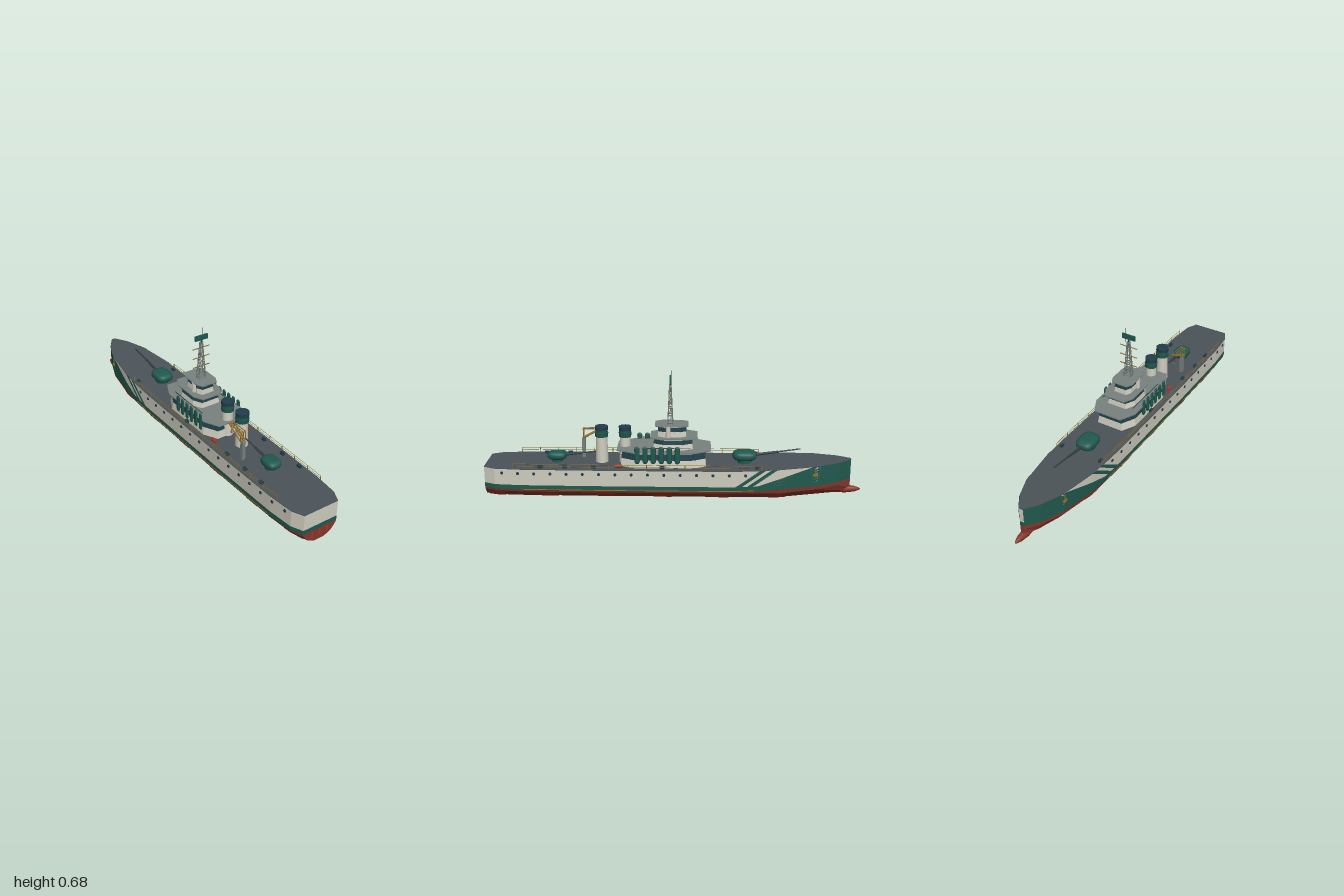
import * as THREE from 'three';

const mat = (name, color, side = THREE.FrontSide) => {
  const m = new THREE.MeshStandardMaterial({ color, side });
  m.name = name;
  return m;
};
const V = (x, y, z) => new THREE.Vector3(x, y, z);

// Hull stations from stern to bow: z, half width
const STATIONS = [[1, 0.1], [0.94, 0.128], [0.8, 0.14], [0.4, 0.145], [-0.3, 0.145], [-0.42, 0.142],
  [-0.55, 0.136], [-0.75, 0.105], [-0.87, 0.058], [-0.94, 0.01]];
const halfAt = (z) => {
  for (let i = 1; i < STATIONS.length; i++) {
    const [z0, w0] = STATIONS[i - 1], [z1, w1] = STATIONS[i];
    if (z >= z1) return w0 + (w1 - w0) * (z - z0) / (z1 - z0);
  }
  return 0.01;
};
const rise = (z) => Math.max(0, (-z - 0.35) / 0.59);
const deckY = (z) => 0.18 + 0.025 * rise(z);
const waterY = (z) => 0.066 + 0.032 * rise(z);
const bandY = (z) => waterY(z) + 0.025;

// Flat-faced solid through closed rings of equal length, faced outwards
function loft(rings) {
  const tris = [], n = rings[0].length;
  for (let i = 0; i + 1 < rings.length; i++) for (let j = 0; j < n; j++) {
    const k = (j + 1) % n, [a, b, c, d] = [rings[i][j], rings[i][k], rings[i + 1][k], rings[i + 1][j]];
    tris.push([a, b, c], [a, c, d]);
  }
  const last = rings[rings.length - 1];
  for (let j = 1; j + 1 < n; j++) {
    tris.push([rings[0][0], rings[0][j + 1], rings[0][j]], [last[0], last[j], last[j + 1]]);
  }
  const volume = tris.reduce((s, [a, b, c]) => s + a.dot(b.clone().cross(c)), 0);
  if (volume < 0) tris.forEach((t) => t.reverse());
  const g = new THREE.BufferGeometry().setFromPoints(tris.flat());
  g.computeVertexNormals();
  return g;
}

// Open painted sheet from a function of u and v
function sheet(fn, nu, nv, flip) {
  const pts = [];
  for (let i = 0; i < nu; i++) for (let j = 0; j < nv; j++) {
    const p = (a, b) => fn(a / nu, b / nv);
    const q = [p(i, j), p(i + 1, j), p(i + 1, j + 1), p(i, j), p(i + 1, j + 1), p(i, j + 1)];
    pts.push(...(flip ? q.reverse() : q));
  }
  const g = new THREE.BufferGeometry().setFromPoints(pts);
  g.computeVertexNormals();
  return g;
}

// Eight-sided plan ring with cut corners
const ring = (y, hw, zf, zb, c) => [[hw - c, zf], [hw, zf + 2 * c], [hw, zb - 2 * c], [hw - c, zb],
  [c - hw, zb], [-hw, zb - 2 * c], [-hw, zf + 2 * c], [c - hw, zf]].map(([x, z]) => V(x, y, z));

export function createModel() {
  const ship = new THREE.Group();
  ship.name = 'warship';
  const white = mat('hullWhite', 0xcfcdbf), green = mat('darkGreen', 0x20594e, THREE.DoubleSide);
  const red = mat('bottomRed', 0x86382e), bright = mat('brightRed', 0xa8382a, THREE.DoubleSide);
  const deckGrey = mat('deckGrey', 0x4b5459), roofGrey = mat('roofGrey', 0x78827f);
  const gold = mat('brassGold', 0x94702c), navy = mat('windowNavy', 0x213d4b);
  const steel = mat('darkSteel', 0x343d42);

  const add = (name, geo, m, x = 0, y = 0, z = 0) => {
    const mesh = new THREE.Mesh(geo, m);
    mesh.name = name;
    mesh.position.set(x, y, z);
    ship.add(mesh);
    return mesh;
  };
  const box = (name, m, w, h, d, x, y, z) => add(name, new THREE.BoxGeometry(w, h, d), m, x, y, z);
  const rod = (name, m, a, b, r0, r1 = r0, sides = 6) => {
    const dir = b.clone().sub(a);
    const mesh = add(name, new THREE.CylinderGeometry(r1, r0, dir.length(), sides), m);
    mesh.position.copy(a).add(b).multiplyScalar(0.5);
    mesh.quaternion.setFromUnitVectors(V(0, 1, 0), dir.normalize());
    return mesh;
  };

  // Hull bands
  const band = (name, m, lo, hi, grow = 0, list = STATIONS) => add(name, loft(list.map(([z, w]) => {
    const x = w + grow;
    return [V(x, lo(z), z), V(x, hi(z), z), V(-x, hi(z), z), V(-x, lo(z), z)];
  })), m);
  band('topsides', white, bandY, (z) => deckY(z) - 0.003);
  band('deck', deckGrey, (z) => deckY(z) - 0.003, deckY);
  band('waterlineBand', green, waterY, bandY, 0.0005);
  band('waterlineStripe', gold, waterY, (z) => waterY(z) + 0.004, 0.002,
    STATIONS.filter(([z]) => z <= 0.8 && z >= -0.42));
  const chine = (z) => {
    const w = halfAt(z), k = Math.max(0, (-z - 0.55) / 0.39) * 0.025;
    return [[w, waterY(z)], [0.97 * w, 0.054 + k], [0.69 * w, 0.019 + k], [0.28 * w, 0.001 + k]];
  };
  add('underwaterHull', loft(STATIONS.map(([z]) => {
    const half = chine(z);
    return [...half.map(([x, y]) => V(x, y, z)), ...half.reverse().map(([x, y]) => V(-x, y, z))];
  })), red);

  // Ram bulb
  const bulb = new THREE.LatheGeometry([[0, -0.42], [0.008, -0.36], [0.014, -0.25], [0.02, -0.13],
    [0.021, -0.08], [0.016, -0.035], [0.007, -0.008], [0, 0]].map(([r, y]) => new THREE.Vector2(r, y)), 14);
  add('ramBulb', bulb, red, 0, 0.034, -1).rotation.x = -Math.PI / 2;

  // Painted bow, slanting stripes and red bottom patches
  for (const s of [1, -1]) {
    const paint = (name, start, end) => add(name, sheet((u, v) => {
      const z = start(v) + (end(v) - start(v)) * u;
      return V(s * (halfAt(z) + 0.002), bandY(z) - 0.001 + (deckY(z) - bandY(z)) * v, z);
    }, 24, 6, s < 0), green);
    paint('bowPaint', (v) => -0.43 - 0.3 * v, () => -0.939);
    for (const z of [-0.32, -0.38]) paint('bowStripe', (v) => z - 0.13 * v, (v) => z - 0.032 - 0.13 * v);
    for (const z of [0.98, 0.7, 0.4, 0.1, -0.2, -0.5]) {
      add('bottomPatch', sheet((u, v) => {
        const zz = z - 0.09 * u, c = chine(zz);
        return V(s * (c[1][0] + (c[2][0] - c[1][0]) * v + 0.0015),
          c[1][1] + (c[2][1] - c[1][1]) * v - 0.0015, zz);
      }, 4, 1, s < 0), bright);
    }
    // Portholes and anchor
    for (let i = 0; i < 16; i++) {
      const z = 0.9 - i * 0.085;
      add('porthole', new THREE.CylinderGeometry(0.008, 0.008, 0.008, 10), navy,
        s * halfAt(z), 0.156, z).rotation.z = Math.PI / 2;
    }
    const ax = s * (halfAt(-0.74) + 0.004);
    rod('anchorShank', gold, V(ax, 0.145, -0.74), V(ax, 0.185, -0.74), 0.004);
    box('anchorFluke', gold, 0.008, 0.012, 0.026, ax, 0.15, -0.74);

    // Deck railing
    const railX = (z) => s * (halfAt(z) - 0.006);
    for (let i = 0; i <= 13; i++) {
      const z = 0.84 - i * 0.1, z2 = z - 0.1;
      rod('railPost', gold, V(railX(z), 0.178, z), V(railX(z), 0.208, z), 0.0018);
      if (i < 13) for (const h of [0.194, 0.207]) {
        rod('rail', gold, V(railX(z), h, z), V(railX(z2), h, z2), 0.0013, 0.0013, 4);
      }
    }
    for (const z of [-0.44, 0.06, 0.42, 0.57, 0.7]) box('bollard', navy, 0.014, 0.014, 0.024, s * 0.116, 0.187, z);
    add('redDrum', new THREE.CylinderGeometry(0.009, 0.009, 0.035, 12), bright,
      s * 0.102, 0.189, 0.29).rotation.x = Math.PI / 2;

    // Upright floats along the deckhouse
    for (let i = 0; i < 6; i++) {
      const z = 0.19 - i * 0.042;
      add('sideFloat', new THREE.CapsuleGeometry(0.014, 0.068, 4, 8), green, s * 0.119, 0.255, z).scale.x = 0.4;
      rod('floatBracket', steel, V(s * 0.1, 0.235, z), V(s * 0.119, 0.235, z), 0.003);
    }
    // Director posts beside the upper bridge
    add('directorPost', new THREE.CylinderGeometry(0.012, 0.013, 0.054, 14), white, s * 0.05, 0.359, 0.03);
    add('directorCap', new THREE.CylinderGeometry(0.014, 0.014, 0.008, 14), white, s * 0.05, 0.389, 0.03);
  }
  for (const x of [-0.045, 0, 0.045]) box('transomPatch', bright, 0.011, 0.034, 0.004, x, 0.043, 0.999);

  // Three bridge levels: wall, window band with mullions, cornice, overhanging roof
  const house = (y, h, hw, zf, zb, c, lean, roof) => {
    const at = (f, g = 0) => ring(y + h * f, hw + g - lean * f, zf - g + lean * f, zb + g - lean * f, c);
    add('houseWall', loft([at(0), at(0.5)]), white);
    add('houseWindows', loft([at(0.5), at(0.88)]), navy);
    add('houseCornice', loft([at(0.88), at(1)]), white);
    const low = at(0.5, 0.001), high = at(0.88, 0.001);
    low.forEach((p, i) => {
      const j = (i + 1) % 8, n = Math.max(1, Math.round(p.distanceTo(low[j]) / 0.025));
      for (let k = 0; k < n; k++) {
        rod('windowMullion', green, p.clone().lerp(low[j], k / n), high[i].clone().lerp(high[j], k / n), 0.002, 0.002, 4);
      }
    });
    const [rw, rf, rb, rc] = roof;
    add('houseRoof', loft([ring(y + h, rw, rf, rb, rc), ring(y + h + 0.005, rw, rf, rb, rc)]), roofGrey);
  };
  house(0.178, 0.087, 0.112, -0.17, 0.28, 0.038, 0.012, [0.12, -0.195, 0.3, 0.042]);
  house(0.269, 0.058, 0.08, -0.1, 0.11, 0.025, 0.01, [0.085, -0.125, 0.125, 0.027]);
  house(0.331, 0.058, 0.05, -0.065, 0.085, 0.015, 0.006, [0.062, -0.075, 0.1, 0.018]);
  for (const s of [1, -1]) rod('bridgeRail', steel, V(s * 0.094, 0.285, -0.09), V(s * 0.094, 0.285, 0.17), 0.002);

  // Lattice mast
  const MZ = 0.02;
  const leg = (sx, sz, y) => {
    const t = (y - 0.394) / 0.206;
    return V(sx * (0.02 - 0.014 * t), y, MZ + sz * (0.013 - 0.009 * t));
  };
  const corners = [[1, 1], [1, -1], [-1, -1], [-1, 1]], levels = [0.402, 0.442, 0.482, 0.522, 0.562, 0.598];
  corners.forEach(([x, z], i) => {
    const [x2, z2] = corners[(i + 1) % 4];
    rod('mastLeg', roofGrey, leg(x, z, 0.394), leg(x, z, 0.6), 0.0028);
    levels.forEach((y, k) => {
      if (k < 3) rod('mastRing', roofGrey, leg(x, z, y), leg(x2, z2, y), 0.0025);
      if (k < 5) rod('mastBrace', roofGrey, leg(x, z, y), leg(x2, z2, levels[k + 1]), 0.0016);
    });
  });
  for (const y of [0.465, 0.519, 0.573]) rod('yard', gold, V(-0.051, y, MZ), V(0.051, y, MZ), 0.0025);
  box('mastHead', roofGrey, 0.018, 0.006, 0.014, 0, 0.6, MZ);
  rod('radarPivot', steel, V(0, 0.6, MZ), V(0, 0.62, MZ), 0.004);
  box('radarPanel', green, 0.077, 0.028, 0.008, 0, 0.631, MZ);
  rod('antenna', steel, V(0.013, 0.6, MZ - 0.006), V(0.013, 0.682, MZ - 0.006), 0.0014);

  // Funnels
  for (const [z, r] of [[0.385, 0.033], [0.26, 0.031]]) {
    const tube = (name, m, r0, r1, y0, y1) =>
      add(name, new THREE.CylinderGeometry(r1, r0, y1 - y0, 20), m, 0, (y0 + y1) / 2, z);
    tube('funnel', white, r + 0.001, r - 0.003, 0.178, 0.325);
    tube('funnelCollar', green, r + 0.001, r + 0.003, 0.32, 0.342);
    tube('funnelBand', green, r, r, 0.342, 0.357);
    tube('funnelCap', navy, r + 0.002, r + 0.002, 0.357, 0.376);
  }

  // Gun turrets, both aimed at the bow
  const pow = (v, e) => Math.sign(v) * Math.abs(v) ** e;
  const turret = (z, y, w, h, d, reach, lift) => {
    const shell = new THREE.SphereGeometry(1, 24, 14), p = shell.attributes.position;
    for (let i = 0; i < p.count; i++) {
      p.setXYZ(i, pow(p.getX(i), 0.65) * w, pow(p.getY(i), 0.8) * h, pow(p.getZ(i), 0.65) * d);
    }
    shell.computeVertexNormals();
    add('turret', shell, green, 0, y + 0.01 + h, z);
    add('turretBase', new THREE.CylinderGeometry(w * 0.75, w * 0.75, 0.024, 18), green, 0, y + 0.008, z);
    const a = V(0, y + 0.012 + h, z - d * 0.8), b = V(0, a.y + lift, z - d - reach);
    const mid = a.clone().lerp(b, 0.52);
    rod('barrelSleeve', steel, a, mid, 0.008, 0.006, 10);
    rod('barrel', steel, mid, b, 0.004, 0.0035, 10);
  };
  turret(-0.375, 0.183, 0.05, 0.027, 0.064, 0.23, 0.035);
  turret(0.625, 0.18, 0.041, 0.023, 0.052, 0.16, 0.02);

  // Boat crane
  box('cranePost', roofGrey, 0.019, 0.107, 0.019, -0.071, 0.232, 0.49);
  for (const x of [-0.086, -0.071, -0.058]) {
    rod('craneArm', gold, V(x, 0.288, 0.49), V(x, 0.34, 0.395), 0.0032);
    rod('craneStay', gold, V(x, 0.288, 0.49), V(x, 0.338, 0.49), 0.0025);
    rod('craneTie', gold, V(x, 0.338, 0.49), V(x, 0.34, 0.395), 0.002);
  }
  for (const [y, z] of [[0.29, 0.49], [0.338, 0.49], [0.34, 0.395]]) {
    rod('craneCrossbar', gold, V(-0.088, y, z), V(-0.056, y, z), 0.0035);
  }
  rod('craneCable', steel, V(-0.071, 0.34, 0.395), V(-0.071, 0.29, 0.395), 0.0012);
  box('craneHook', gold, 0.007, 0.01, 0.007, -0.071, 0.287, 0.395);

  return ship;
}
